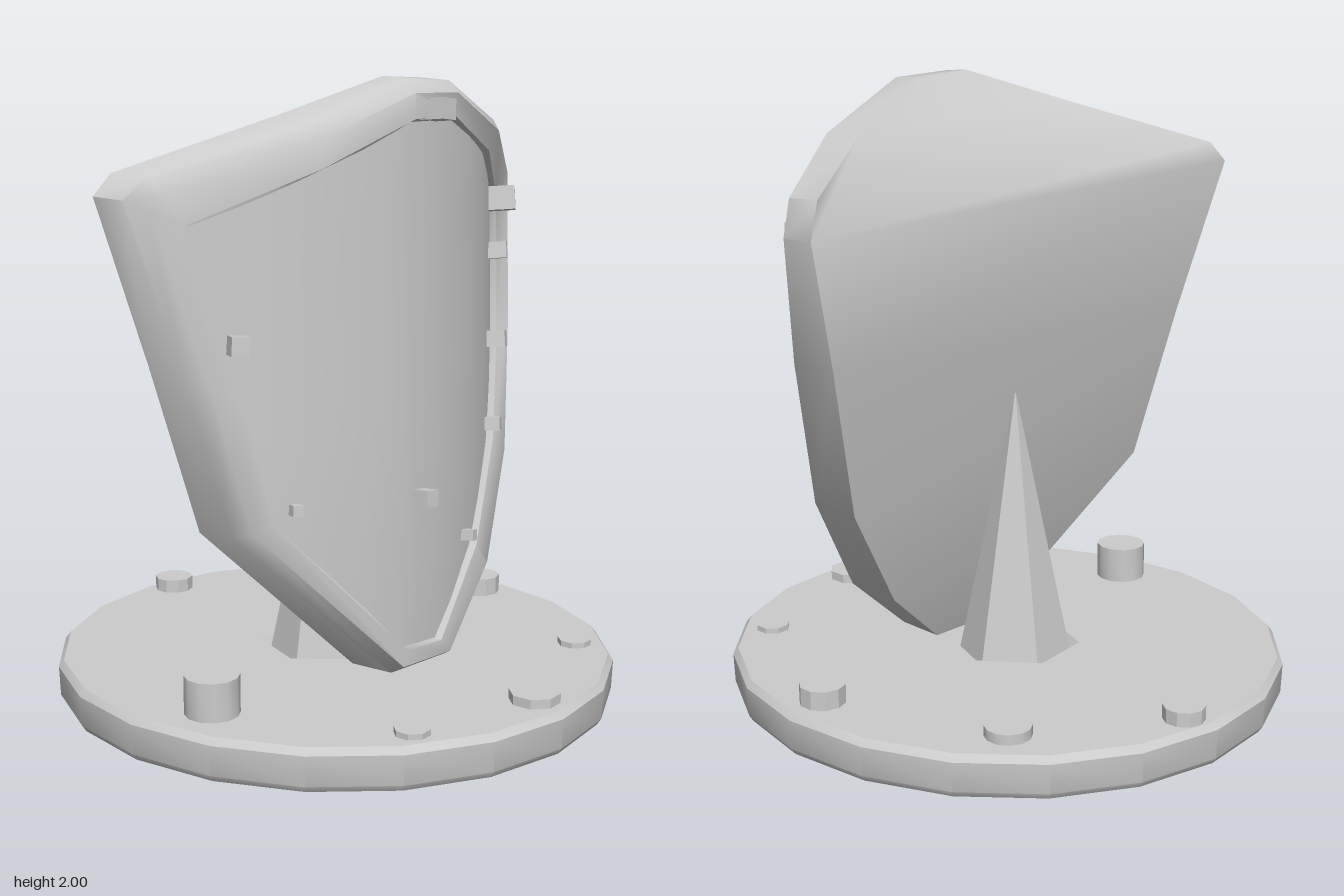
import * as THREE from 'three';
import { toCreasedNormals } from 'three/addons/utils/BufferGeometryUtils.js';

export function createModel() {
  const model = new THREE.Group();
  const grey = new THREE.MeshStandardMaterial({ color: 0xcccccc, side: THREE.DoubleSide });
  grey.name = 'plain grey';

  function add(name, geometry, crease = 0.6) {
    const mesh = new THREE.Mesh(toCreasedNormals(geometry, crease), grey);
    mesh.name = name;
    model.add(mesh);
    return mesh;
  }

  // Triangles from a list of quads or triangles given as point arrays
  function fromQuads(quads) {
    const pos = [];
    for (const [a, b, c, d] of quads) {
      pos.push(...a, ...b, ...c);
      if (d) pos.push(...a, ...c, ...d);
    }
    const g = new THREE.BufferGeometry();
    g.setAttribute('position', new THREE.Float32BufferAttribute(pos, 3));
    return g;
  }

  // Points of a regular polygon lying flat
  const ring = (r, y, sides, cx = 0, cz = 0, start = 0, stretch = 1) =>
    Array.from({ length: sides }, (_, i) => {
      const a = start + (i / sides) * Math.PI * 2;
      return [cx + r * Math.cos(a), y, cz + r * stretch * Math.sin(a)];
    });

  // Walls between successive closed loops of points
  function skin(loops) {
    const quads = [];
    for (let k = 0; k < loops.length - 1; k++) {
      loops[k].forEach((p, i) => {
        const j = (i + 1) % loops[k].length;
        quads.push([p, loops[k][j], loops[k + 1][j], loops[k + 1][i]]);
      });
    }
    return fromQuads(quads);
  }

  // Base wall, open underneath
  const baseLoop = (r, y) => ring(r, y, 20, -0.004, 0, 0.08, 1.03);
  add('baseWall', skin([[0.88, 0], [0.893, 0.02], [0.897, 0.115], [0.88, 0.137]]
    .map(([r, y]) => baseLoop(r, y))));

  // Six-sided support spike set in a shallow collar
  const hex = (r, y) => ring(r, y, 6, 0, -0.04, -2.2);
  const lip = hex(0.215, 0.137), foot = hex(0.185, 0.1), tip = [0, 1, -0.04];
  add('spikeCollar', skin([lip, foot]), 0.1);
  add('supportSpike', fromQuads(foot.map((p, i) => [p, tip, foot[(i + 1) % 6]])), 0.1);

  // Rivets on the base: x, z, radius, top height, sides
  const rivets = [
    [0.11, -0.825, 0.066, 0.182, 10], [0.55, -0.51, 0.073, 0.17, 12],
    [-0.72, 0.09, 0.085, 0.258, 12], [-0.485, 0.655, 0.056, 0.155, 8],
    [-0.045, 0.8, 0.08, 0.167, 8], [0.475, 0.635, 0.055, 0.155, 8],
    [0.76, 0.07, 0.073, 0.198, 10]];
  const rivetLoop = ([x, z, r, , sides], y) => ring(r, y, sides, x, z, Math.PI / sides);
  for (const rivet of rivets) {
    const bottom = rivetLoop(rivet, 0.125), top = rivetLoop(rivet, rivet[3]);
    const cap = top.map((p, i) => [[rivet[0], rivet[3], rivet[1]], top[(i + 1) % top.length], p]);
    add('baseRivetSide', skin([bottom, top]));
    add('baseRivetCap', fromQuads(cap));
  }

  // Top plate, pierced under the spike and the hollow rivets
  const flat = (points) => points.map(([x, , z]) => new THREE.Vector2(x, -z));
  const plate = new THREE.Shape(flat(baseLoop(0.88, 0)));
  for (const edge of [lip, ...rivets.map((r) => rivetLoop(r, 0))]) {
    plate.holes.push(new THREE.Path(flat(edge)));
  }
  add('baseTop', new THREE.ShapeGeometry(plate).rotateX(-Math.PI / 2).translate(0, 0.137, 0));

  // Curved front surface of the shield, turned slightly to one side
  const surf = (x, y) => {
    const u = x - 0.06;
    return 0.352 - 0.03 * Math.max(0, (y - 0.8) / 1.07) + 0.015 * u - 0.52 * u * u;
  };

  // Shield outline: outer x, y, back z, then inner x, y
  const outline = [
    [-0.84, 1.67, -0.235, -0.73, 1.56], [-0.79, 1.735, -0.21, -0.715, 1.585],
    [-0.35, 1.89, 0.05, -0.38, 1.73], [-0.04, 2, 0.21, -0.04, 1.865],
    [0.17, 1.99, 0.21, 0.17, 1.865], [0.52, 1.85, 0.11, 0.47, 1.74],
    [0.79, 1.7, 0, 0.7, 1.56], [0.845, 1.59, -0.03, 0.72, 1.52],
    [0.765, 1.2, -0.02, 0.64, 1.1], [0.62, 0.7, 0.06, 0.5, 0.78],
    [0.4, 0.35, 0.12, 0.31, 0.47], [0.14, 0.13, 0.18, 0.07, 0.21],
    [-0.12, 0.13, 0.17, -0.09, 0.22], [-0.62, 0.65, -0.04, -0.53, 0.69],
    [-0.73, 1.16, -0.13, -0.6, 1.05]];
  const back = outline.map(([x, y, z]) => [x, y, z]);

  // Rim loop at t from outer (0) to inner (1), thicker on the left side
  const loop = (t, lift) => outline.map(([ox, oy, , ix, iy]) => {
    const x = ox + (ix - ox) * t, y = oy + (iy - oy) * t;
    return [x, y, surf(x, y) + lift + 0.11 * Math.max(0, x) * (1 - t)];
  });

  // Raised rim: back edge, rounded front, step down to the panel
  add('shieldRim', skin([back, loop(0.05, -0.02), loop(0.35, 0.022), loop(0.93, 0.022), loop(1, -0.03)]), 0.8);

  // Back: straight spans from one side edge to the other
  const spans = [[3, 4], [2, 5], [1, 5], [0, 7], [14, 8], [13, 9], [13, 10], [12, 11]];
  const backFaces = [[back[5], back[6], back[7]]];
  for (let i = 0; i < spans.length - 1; i++) {
    const [a, b] = spans[i], [c, d] = spans[i + 1];
    if (a === c) backFaces.push([back[a], back[b], back[d]]);
    else if (b === d) backFaces.push([back[a], back[b], back[c]]);
    else backFaces.push([back[a], back[b], back[d], back[c]]);
  }
  add('shieldBack', fromQuads(backFaces), 1);

  // Front panel: columns between the upper and lower inner edges
  const inner = outline.map((p) => [p[3], p[4]]);
  const upper = inner.slice(0, 8);
  const lower = [inner[0], ...inner.slice(7).reverse()];
  const heightAt = (line, x) => {
    for (let i = 0; i < line.length - 1; i++) {
      const [x0, y0] = line[i], [x1, y1] = line[i + 1];
      if (x <= x1) return y0 + (y1 - y0) * (x - x0) / (x1 - x0);
    }
    return line[line.length - 1][1];
  };
  const xs = [...new Set([...inner.map((p) => p[0]), -0.46, -0.22, 0.39, 0.57])].sort((a, b) => a - b);
  const rows = 6;
  const columns = xs.map((x) => Array.from({ length: rows + 1 }, (_, r) => {
    const y = THREE.MathUtils.lerp(heightAt(lower, x), heightAt(upper, x), r / rows);
    return [x, y, surf(x, y)];
  }));
  const panel = [];
  for (let c = 0; c < columns.length - 1; c++) {
    for (let r = 0; r < rows; r++) {
      panel.push([columns[c][r], columns[c + 1][r], columns[c + 1][r + 1], columns[c][r + 1]]);
    }
  }
  add('shieldPanel', fromQuads(panel), 1);

  // Small square studs on the shield: x, y, size
  for (const [x, y, s] of [
    [0.055, 1.9, 0.065], [0.67, 1.57, 0.08], [0.625, 1.4, 0.055],
    [0.56, 1.11, 0.055], [0.505, 0.83, 0.045], [0.26, 0.51, 0.035],
    [-0.025, 0.7, 0.052], [-0.47, 0.73, 0.033], [-0.615, 1.24, 0.057]]) {
    const stud = add('shieldStud', new THREE.BoxGeometry(s, s, s * 1.5), 0.1);
    stud.position.set(x, y, surf(x, y) + s * 0.4);
    stud.rotation.set(-0.08, -Math.atan(0.015 - 1.04 * (x - 0.06)), -0.12);
  }

  return model;
}
